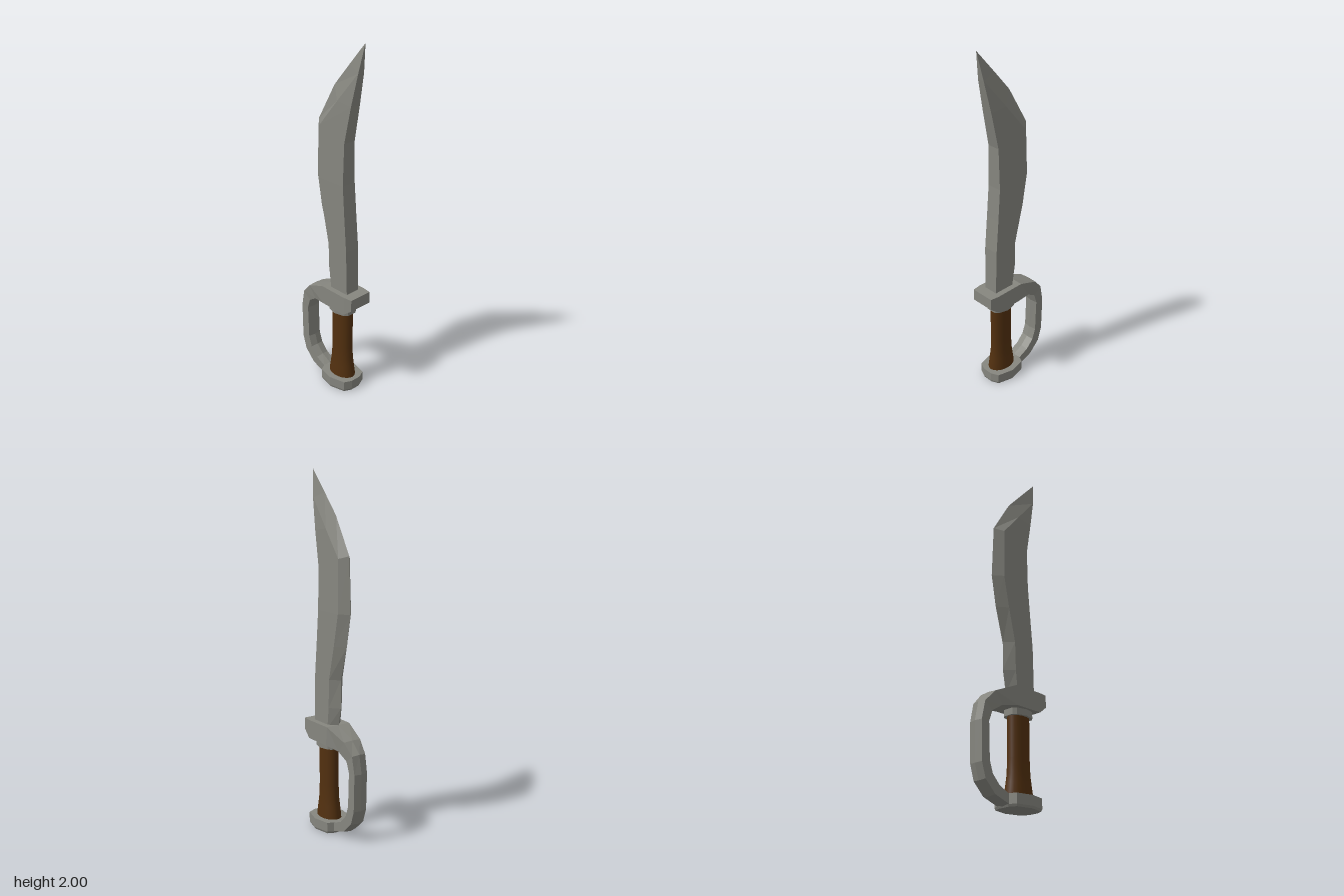
import * as THREE from 'three';

// Skin a list of closed rings (arrays of [x, y, z]) with flat facets and capped ends.
function loft(rings) {
  const pos = [];
  const n = rings[0].length;
  const tri = (a, b, c) => pos.push(...a, ...b, ...c);
  for (let i = 0; i < rings.length - 1; i++) {
    for (let j = 0; j < n; j++) {
      const k = (j + 1) % n;
      const a = rings[i][j], b = rings[i][k], c = rings[i + 1][k], d = rings[i + 1][j];
      tri(a, b, c);
      tri(a, c, d);
    }
  }
  const last = rings[rings.length - 1];
  for (let j = 1; j < n - 1; j++) {
    tri(rings[0][0], rings[0][j + 1], rings[0][j]);
    tri(last[0], last[j], last[j + 1]);
  }
  const geo = new THREE.BufferGeometry();
  geo.setAttribute('position', new THREE.Float32BufferAttribute(pos, 3));
  geo.computeVertexNormals();
  return geo;
}

// Upright prism from half an outline [x, z], mirrored across z = 0.
function prism(half, levels) {
  const cx = 0.078;
  const outline = [...half, ...half.slice().reverse().map(([x, z]) => [x, -z])];
  return loft(levels.map(([y, s]) => outline.map(([x, z]) => [cx + (x - cx) * s, y, z * s])));
}

export function createModel() {
  const group = new THREE.Group();
  const steel = new THREE.MeshStandardMaterial({ color: 0x86867f });
  steel.name = 'steel';
  const wood = new THREE.MeshStandardMaterial({ color: 0x52300f });
  wood.name = 'brownGrip';
  const add = (name, geo, mat) => {
    const mesh = new THREE.Mesh(geo, mat);
    mesh.name = name;
    group.add(mesh);
    return mesh;
  };

  // Blade: cutting edge, bevel line, spine (x, y each) and half thickness
  const blade = [
    [-0.01, 0.6, 0.032, 0.6, 0.155, 0.6, 0.043],
    [-0.035, 0.72, 0.018, 0.72, 0.152, 0.72, 0.044],
    [-0.035, 0.88, 0.012, 0.88, 0.148, 0.88, 0.045],
    [-0.09, 1.07, -0.032, 1.07, 0.132, 1.07, 0.044],
    [-0.122, 1.25, -0.068, 1.25, 0.118, 1.25, 0.043],
    [-0.11, 1.555, -0.063, 1.54, 0.12, 1.48, 0.037],
    [0.01, 1.76, 0.06, 1.69, 0.16, 1.68, 0.031],
    [0.115, 1.88, 0.194, 1.85, 0.196, 1.85, 0.02],
    [0.222, 2, 0.222, 2, 0.222, 2, 0],
  ];
  add('blade', loft(blade.map(([ex, ey, bx, by, sx, sy, t]) => [
    [ex, ey, 0], [bx, by, t], [sx, sy, t], [sx, sy, -t], [bx, by, -t],
  ])), steel);

  // Guard and knuckle bow: outer and inner points (x, y), half width, ridge height
  const bow = [
    [0.217, 0.622, 0.217, 0.555, 0.07, 0],
    [0.165, 0.622, 0.165, 0.515, 0.077, 0],
    [-0.01, 0.622, 0, 0.515, 0.075, 0],
    [-0.14, 0.565, -0.09, 0.5, 0.054, 0.004],
    [-0.2, 0.5, -0.15, 0.46, 0.044, 0.008],
    [-0.22, 0.4, -0.17, 0.4, 0.042, 0.008],
    [-0.215, 0.19, -0.163, 0.205, 0.042, 0.008],
    [-0.19, 0.11, -0.142, 0.142, 0.042, 0.008],
    [-0.125, 0.045, -0.095, 0.092, 0.042, 0.008],
    [-0.03, 0.012, -0.03, 0.062, 0.042, 0.006],
    [0.01, 0.012, 0.01, 0.06, 0.042, 0],
  ];
  add('guardBow', loft(bow.map(([ox, oy, ix, iy, w, r]) => {
    const len = Math.hypot(ox - ix, oy - iy);
    const dx = (ox - ix) / len * r, dy = (oy - iy) / len * r;
    return [
      [ox, oy, w], [ox + dx, oy + dy, 0], [ox, oy, -w],
      [ix, iy, -w], [ix - dx, iy - dy, 0], [ix, iy, w],
    ];
  })), steel);

  // Collar between guard and grip
  add('collar', prism(
    [[0.004, 0.03], [0.022, 0.048], [0.078, 0.062], [0.134, 0.048], [0.152, 0.03]],
    [[0.48, 1], [0.525, 1]]), steel);

  // Oval grip, flared at the base
  const profile = [[0.087, 0.05], [0.085, 0.075], [0.077, 0.13], [0.07, 0.18], [0.067, 0.26], [0.067, 0.5]];
  const grip = add('grip', new THREE.LatheGeometry(
    profile.map(([r, y]) => new THREE.Vector2(r, y)), 20), wood);
  grip.scale.z = 0.7;
  grip.position.x = 0.078;

  // Faceted pommel
  add('pommel', prism(
    [[-0.035, 0.035], [-0.015, 0.078], [0.078, 0.098], [0.17, 0.074], [0.19, 0.03]],
    [[0, 0.95], [0.012, 1], [0.065, 1]]), steel);

  return group;
}
